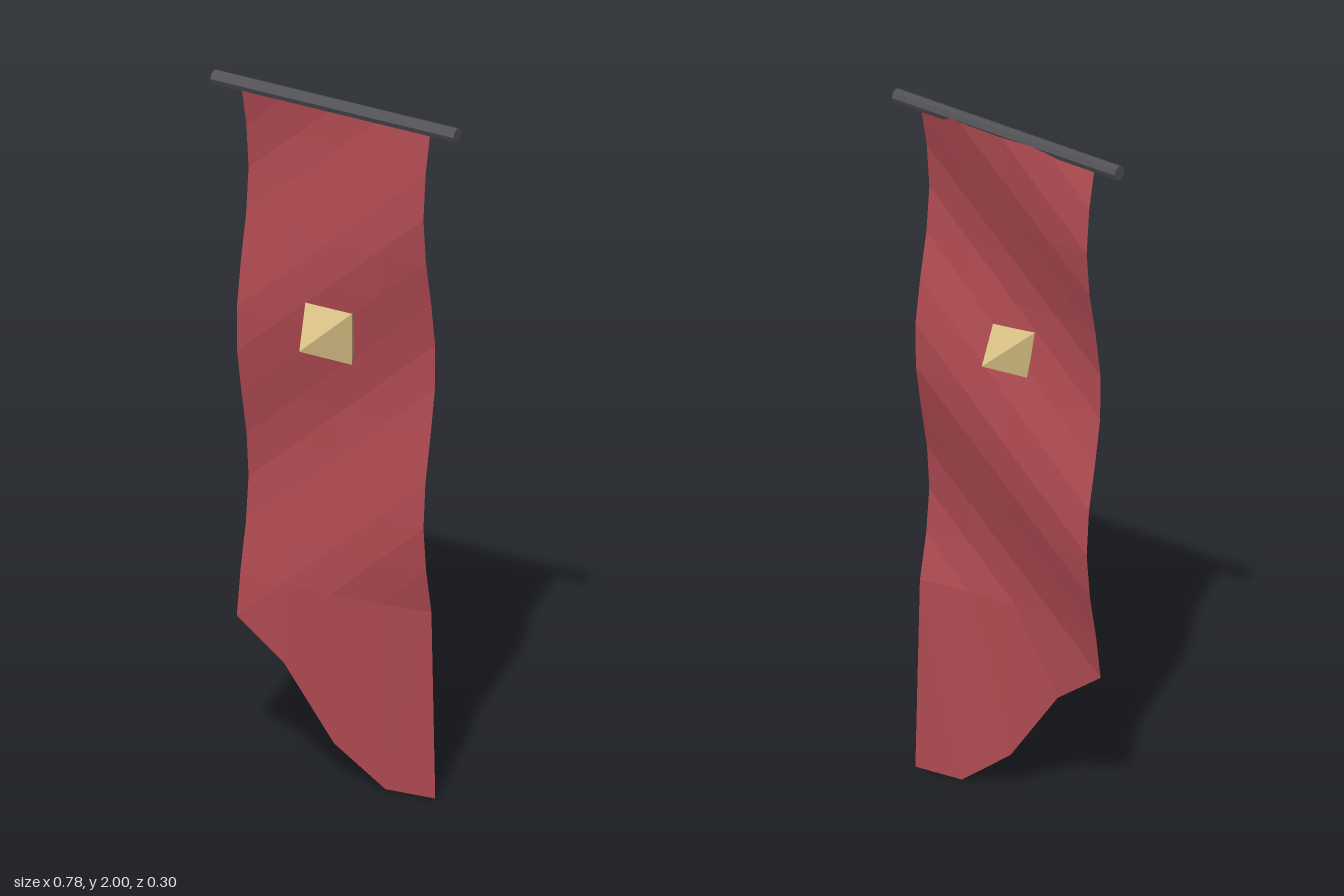
import * as THREE from 'three';

const mat = (name, color, extra = {}) => {
  const m = new THREE.MeshStandardMaterial({ color, flatShading: true, ...extra });
  m.name = name;
  return m;
};

export function createModel() {
  const group = new THREE.Group();
  group.name = 'hangingBanner';
  const red = mat('redCloth', 0xb04a52, { side: THREE.DoubleSide });
  const iron = mat('darkIron', 0x505055);
  const gold = mat('paleGold', 0xd4bc82);

  const add = (name, geometry, material, x, y, z) => {
    const mesh = new THREE.Mesh(geometry, material);
    mesh.name = name;
    mesh.position.set(x, y, z);
    group.add(mesh);
    return mesh;
  };

  // Cloth: a grid rippled by a diagonal wave, with the last row pulled down to a ragged hem
  const cols = 4, rows = 12, top = 1.98, bottom = 0.425;
  const hem = [0.425, 0.32, 0.11, 0, 0];
  const cloth = new THREE.PlaneGeometry(0.6, top - bottom, cols, rows);
  const p = cloth.attributes.position;
  for (let i = 0; i < p.count; i++) {
    const x = p.getX(i);
    const y = p.getY(i) + (top + bottom) / 2;
    const phase = Math.PI / 2 - (x * Math.PI) / 0.6;
    const z = -0.037 + 0.031 * Math.sin(((y - 1.5) * 2 * Math.PI) / 0.9 + phase);
    const row = Math.floor(i / (cols + 1));
    p.setXYZ(i, x, row === rows ? hem[i % (cols + 1)] : y, z);
  }
  cloth.computeVertexNormals();
  add('cloth', cloth, red, 0, 0, 0);

  // Rod along the top edge
  const rod = new THREE.CylinderGeometry(0.021, 0.021, 0.78, 8);
  rod.rotateZ(Math.PI / 2);
  add('rod', rod, iron, 0, 1.979, -0.037);

  // Ornament: two square pyramids meeting base to base through the cloth
  for (const side of [1, -1]) {
    const spike = new THREE.ConeGeometry(0.075 * Math.SQRT2, 0.15, 4, 1, true);
    spike.rotateY(Math.PI / 4);
    spike.rotateX((side * Math.PI) / 2);
    add(side > 0 ? 'frontSpike' : 'backSpike', spike, gold, 0, 1.323, side * 0.075);
  }
  return group;
}
